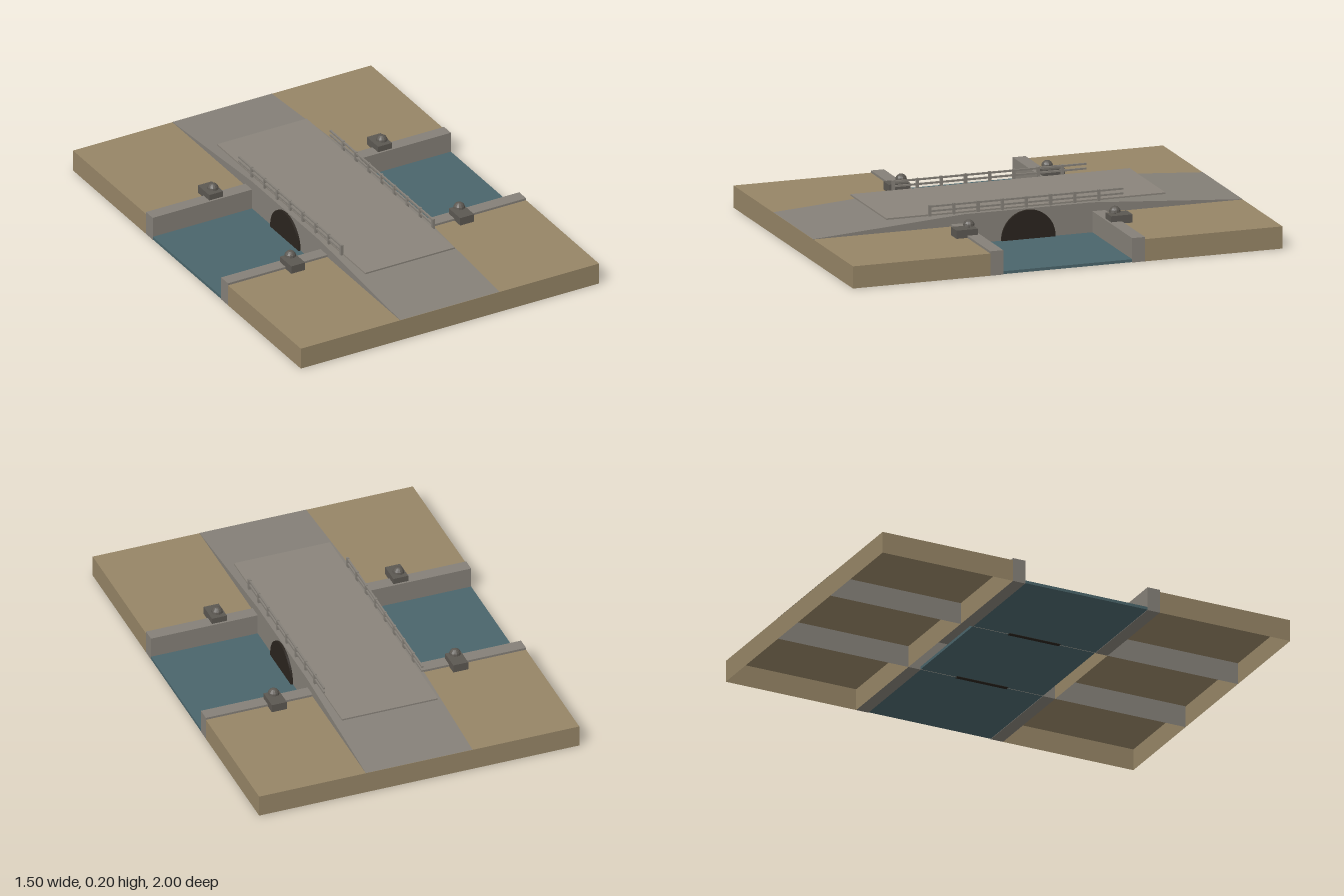
import * as THREE from 'three';

const mat = (color) => new THREE.MeshStandardMaterial({ color, side: THREE.DoubleSide, flatShading: true });

export function createModel() {
  const model = new THREE.Group();
  const earth = mat(0x968566), stone = mat(0x858078), paving = mat(0x8a847b);
  const water = mat(0x4a656b), shadow = mat(0x2a241e), iron = mat(0x5c5852);

  const add = (name, geometry, material, x = 0, y = 0, z = 0) => {
    const mesh = new THREE.Mesh(geometry, material);
    mesh.name = name;
    mesh.position.set(x, y, z);
    model.add(mesh);
    return mesh;
  };
  // box given by its limits
  const box = (name, material, x0, x1, y0, y1, z0, z1) =>
    add(name, new THREE.BoxGeometry(x1 - x0, y1 - y0, z1 - z0), material,
      (x0 + x1) / 2, (y0 + y1) / 2, (z0 + z1) / 2);

  // canal
  box('water', water, -0.75, 0.75, 0.002, 0.015, -0.3, 0.3);

  // hollow river banks, open underneath
  for (const s of [-1, 1]) {
    const bank = box('bank', earth, -0.75, 0.75, 0, 0.1, s > 0 ? 0.36 : -1, s > 0 ? 1 : -0.36);
    const index = Array.from(bank.geometry.index.array);
    index.splice(18, 6);
    bank.geometry.setIndex(index);
  }

  // bridge shell: side walls under a ramped road
  const profile = [[-1, 0.101], [-0.3, 0.15], [0.3, 0.15], [1, 0.101]];
  const wall = new THREE.Shape([[-1, 0], [1, 0], ...profile.slice().reverse()]
    .map(([z, y]) => new THREE.Vector2(z, y)));
  const road = [], roadIndex = [];
  profile.forEach(([z, y], i) => {
    road.push(-0.25, y, z, 0.25, y, z);
    const a = i * 2;
    if (i < 3) roadIndex.push(a, a + 2, a + 1, a + 1, a + 2, a + 3);
  });
  const roadGeometry = new THREE.BufferGeometry();
  roadGeometry.setAttribute('position', new THREE.Float32BufferAttribute(road, 3));
  roadGeometry.setIndex(roadIndex);
  roadGeometry.computeVertexNormals();
  add('rampedRoad', roadGeometry, stone);
  box('deckPlate', paving, -0.225, 0.225, 0.15, 0.157, -0.65, 0.65);

  // dark arch opening, slightly proud of each wall
  const arch = new THREE.Shape();
  arch.moveTo(-0.125, 0);
  arch.lineTo(0.125, 0);
  arch.lineTo(0.125, 0.02);
  arch.absarc(0, 0.02, 0.125, 0, Math.PI, false);
  arch.closePath();
  const archGeometry = new THREE.ExtrudeGeometry(arch, { depth: 0.02, bevelEnabled: false, curveSegments: 16 });

  for (const sx of [-1, 1]) {
    add('bridgeWall', new THREE.ShapeGeometry(wall), stone, sx * 0.25).rotation.y = -Math.PI / 2;
    add('archOpening', archGeometry, shadow, sx * 0.25 + 0.01).rotation.y = -Math.PI / 2;

    // railing
    for (let i = 0; i < 8; i++)
      add('railPost', new THREE.BoxGeometry(0.012, 0.05, 0.012), stone, sx * 0.23, 0.175, 0.45 - i * 0.1125);
    for (const y of [0.173, 0.194])
      add('rail', new THREE.BoxGeometry(0.008, 0.008, 0.9), stone, sx * 0.23, y, 0);

    for (const sz of [-1, 1]) {
      // retaining wall along the water
      add('retainingWall', new THREE.BoxGeometry(0.5, 0.11, 0.06), stone, sx * 0.5, 0.055, sz * 0.33);

      // mooring lamp: plinth, thin stem and domed cap
      add('lampPlinth', new THREE.BoxGeometry(0.07, 0.037, 0.1), iron, sx * 0.425, 0.1185, sz * 0.36);
      add('lampStem', new THREE.CylinderGeometry(0.006, 0.006, 0.02, 8), iron, sx * 0.425, 0.145, sz * 0.34);
      add('lampCap', new THREE.SphereGeometry(0.026, 12, 4, 0, Math.PI * 2, 0, Math.PI / 2), iron,
        sx * 0.425, 0.147, sz * 0.34);
    }
  }
  return model;
}
